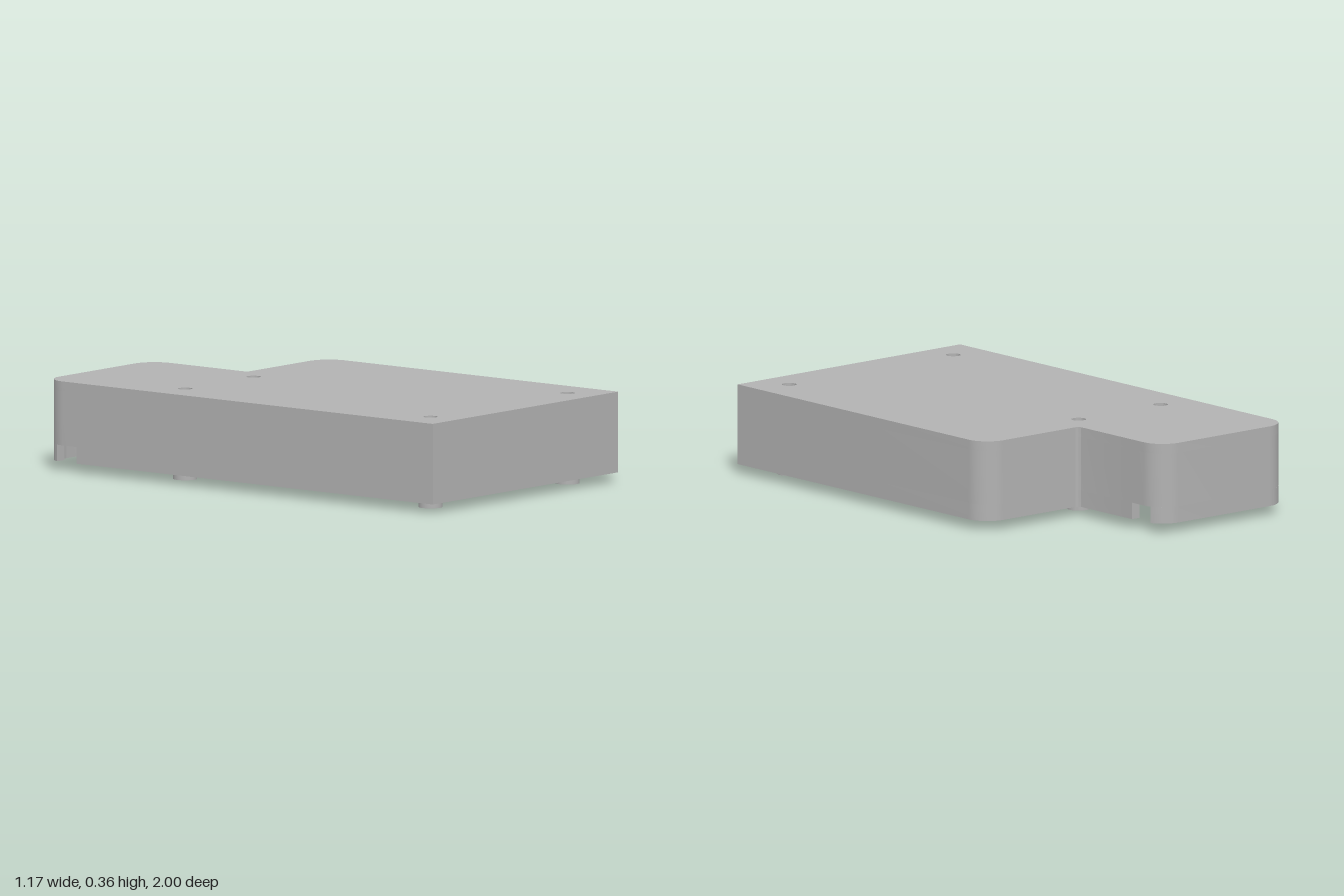
import * as THREE from 'three';
import { toCreasedNormals } from 'three/addons/utils/BufferGeometryUtils.js';

// Plan shapes use (x, -z), so the back of the case is +Y in the plan.
const HALF_W = 0.587, LOBE_X = 0.092, SHOULDER = 0.505, CORNER = 0.1, FILLET = 0.02;
const WALL = 0.04, BASE = 0.038, NOTCH_TOP = 0.105, CEILING = 0.323, TOP = 0.363;
const NOTCH_FRONT = 0.83, NOTCH_BACK = 0.935;
const POSTS = [[-0.435, 0.396], [-0.002, 0.396], [-0.435, -0.865], [0.432, -0.865]];
const POST_R = 0.048, HOLE_R = 0.029;

function arc(cx, cy, r, from, to, steps = 16) {
  return Array.from({ length: steps + 1 }, (_, i) => {
    const a = from + (to - from) * i / steps;
    return new THREE.Vector2(cx + r * Math.cos(a), cy + r * Math.sin(a));
  });
}

// Rounded back end, starting at the height 'rise' above the corner centres
function backPath(inset, rise = 0) {
  const r = CORNER - inset, a = Math.asin(rise / r), cy = 1 - CORNER;
  return [
    ...arc(LOBE_X - CORNER, cy, r, a, Math.PI / 2),
    ...arc(-HALF_W + CORNER, cy, r, Math.PI / 2, Math.PI - a),
  ];
}

// Left edge, square front, rounded shoulder and inner corner
function bodyPath(inset) {
  const w = HALF_W - inset;
  return [
    new THREE.Vector2(-w, NOTCH_FRONT),
    new THREE.Vector2(-w, -1 + inset),
    new THREE.Vector2(w, -1 + inset),
    ...arc(HALF_W - CORNER, SHOULDER - CORNER, CORNER - inset, 0, Math.PI / 2),
    ...arc(LOBE_X + FILLET, SHOULDER + FILLET, FILLET + inset, Math.PI * 1.5, Math.PI),
    new THREE.Vector2(LOBE_X - inset, NOTCH_FRONT),
  ];
}

const outline = inset => [...bodyPath(inset), ...backPath(inset)];

function circle(x, y, r) {
  return new THREE.Path().absarc(x, y, r, 0, Math.PI * 2, false);
}

export function createModel() {
  const group = new THREE.Group();
  const grey = new THREE.MeshStandardMaterial({ color: 0xb2b2b2 });
  grey.name = 'grey plastic';

  function slab(name, shape, y0, y1) {
    let geo = new THREE.ExtrudeGeometry(shape, { depth: y1 - y0, bevelEnabled: false, curveSegments: 16 });
    geo.rotateX(-Math.PI / 2);
    geo.translate(0, y0, 0);
    geo = toCreasedNormals(geo, 0.6);
    const mesh = new THREE.Mesh(geo, grey);
    mesh.name = name;
    group.add(mesh);
  }

  // Top plate with screw holes
  const plate = new THREE.Shape(outline(0));
  for (const [x, y] of POSTS) plate.holes.push(circle(x, y, HOLE_R));
  slab('topPlate', plate, CEILING, TOP);

  // Continuous wall above the cable notches
  const wall = new THREE.Shape(outline(0));
  wall.holes.push(new THREE.Path(outline(WALL)));
  slab('upperWall', wall, NOTCH_TOP, CEILING);

  // Lower wall, split by the notches in both sides of the back end
  const rise = NOTCH_BACK - (1 - CORNER);
  slab('lowerWallFront', new THREE.Shape([...bodyPath(0), ...bodyPath(WALL).reverse()]), BASE, NOTCH_TOP);
  slab('lowerWallBack', new THREE.Shape([...backPath(0, rise), ...backPath(WALL, rise).reverse()]), BASE, NOTCH_TOP);

  // Hollow screw posts, reaching below the wall
  POSTS.forEach(([x, y], i) => {
    const ring = new THREE.Shape().absarc(x, y, POST_R, 0, Math.PI * 2, false);
    ring.holes.push(circle(x, y, HOLE_R));
    slab(`screwPost${i + 1}`, ring, 0, CEILING);
  });

  return group;
}
